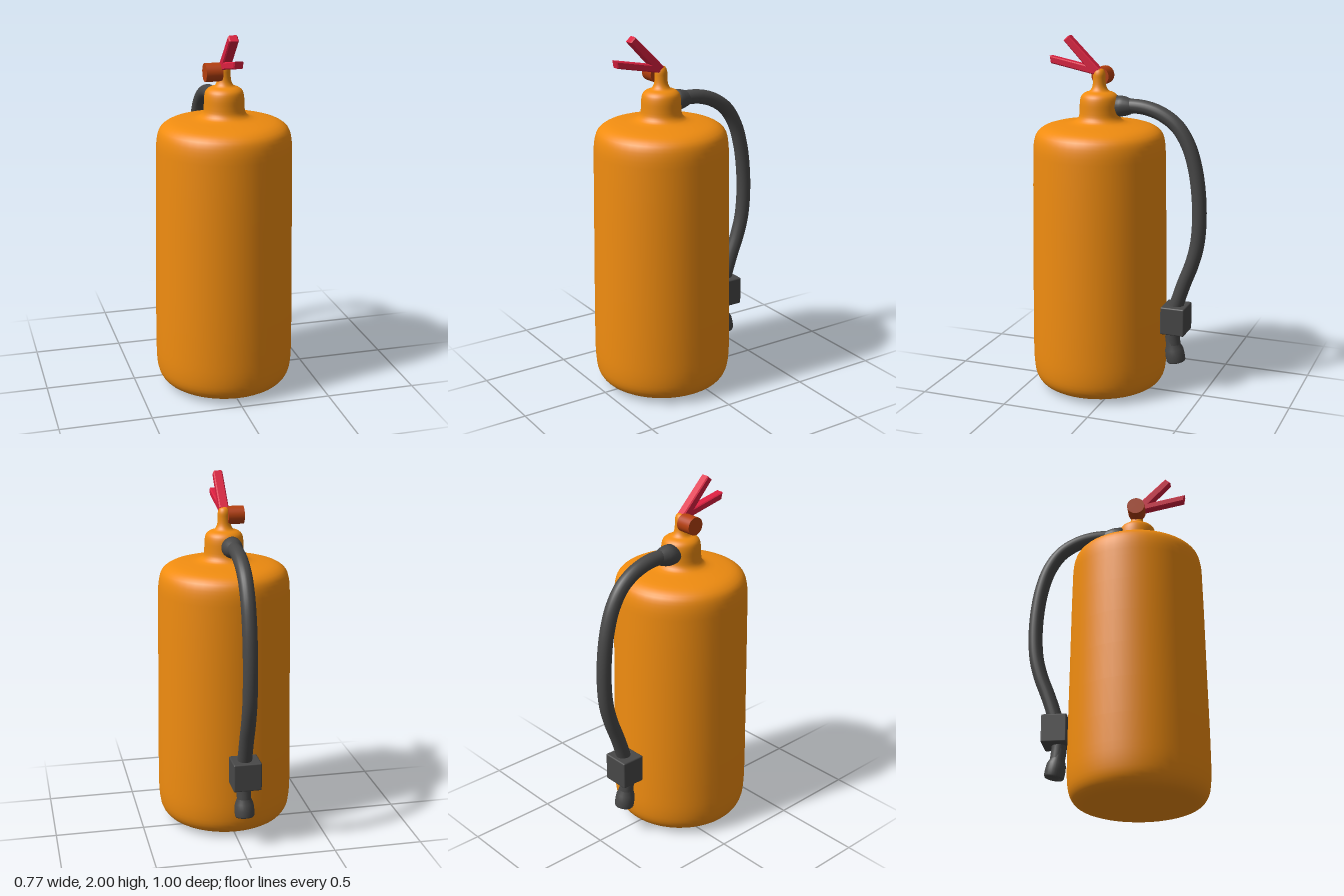
import * as THREE from 'three';
import { RoundedBoxGeometry } from 'three/addons/geometries/RoundedBoxGeometry.js';

const AXIS_Z = 0.117; // centre line of the tank
const HOSE_X = -0.022; // plane of the hose

const paint = (color) => {
  const m = new THREE.MeshStandardMaterial();
  m.color.set(color);
  return m;
};

export function createModel() {
  const model = new THREE.Group();
  const orange = paint(0xf08c10), red = paint(0xdc2040), rust = paint(0xb5400f), rubber = paint(0x484848);

  const add = (name, geometry, material, x = 0, y = 0, z = 0) => {
    const mesh = new THREE.Mesh(geometry, material);
    mesh.name = name;
    mesh.position.set(x, y, z);
    model.add(mesh);
    return mesh;
  };

  // Tank, neck and valve stem as one smooth turned profile
  const profile = [
    [0, 0], [0.2, 0.005], [0.29, 0.013], [0.34, 0.034], [0.368, 0.075], [0.38, 0.14], [0.383, 0.25],
    [0.376, 0.8], [0.368, 1.32], [0.363, 1.42], [0.345, 1.475], [0.3, 1.507], [0.22, 1.523],
    [0.14, 1.536], [0.115, 1.56], [0.109, 1.6], [0.107, 1.645], [0.099, 1.677], [0.08, 1.694],
    [0.052, 1.705], [0.038, 1.73], [0.034, 1.77], [0.033, 1.8], [0.022, 1.822], [0, 1.828],
  ].map(([r, y]) => new THREE.Vector3(r, y, 0));
  const smooth = new THREE.CatmullRomCurve3(profile, false, 'centripetal').getPoints(72)
    .map((p) => new THREE.Vector2(Math.max(p.x, 0), Math.max(p.y, 0)));
  add('tank', new THREE.LatheGeometry(smooth, 48), orange, 0, 0, AXIS_Z);

  // Squeeze levers: side outlines in (z, y), extruded across the width
  const lever = (name, outline) => {
    const shape = new THREE.Shape(outline.map(([z, y]) => new THREE.Vector2(z, y)));
    const geo = new THREE.ExtrudeGeometry(shape, {
      depth: 0.04, bevelEnabled: true, bevelSize: 0.006, bevelThickness: 0.006, bevelOffset: -0.006, bevelSegments: 1,
    });
    geo.translate(0, 0, -0.02).rotateY(-Math.PI / 2);
    add(name, geo, red, -0.001);
  };
  lever('upperLever', [[0.155, 1.8], [0.319, 1.973], [0.288, 2.0], [0.11, 1.825], [0.12, 1.8]]);
  lever('lowerLever', [[0.13, 1.792], [0.395, 1.845], [0.402, 1.885], [0.13, 1.832]]);

  // Pressure gauge on the right side of the stem
  add('gauge', new THREE.CylinderGeometry(0.05, 0.05, 0.09, 32).rotateZ(Math.PI / 2), rust, -0.063, 1.78, 0.12);

  // Hose arching down behind the tank
  const path = new THREE.CatmullRomCurve3([
    [1.62, 0.0], [1.627, -0.06], [1.62, -0.15], [1.59, -0.24], [1.53, -0.325], [1.43, -0.39], [1.3, -0.431],
    [1.15, -0.453], [1.0, -0.458], [0.87, -0.447], [0.76, -0.419], [0.65, -0.378], [0.56, -0.348],
    [0.48, -0.326], [0.36, -0.312], [0.27, -0.32],
  ].map(([y, z]) => new THREE.Vector3(HOSE_X, y, z)));
  add('hose', new THREE.TubeGeometry(path, 90, 0.04, 20), rubber);

  // Turned collar where the hose leaves the neck, and the flared nozzle tip
  const turned = (pts) => new THREE.LatheGeometry(pts.map(([r, y]) => new THREE.Vector2(r, y)), 28);
  add('hoseCollar', turned([[0, 0], [0.058, 0], [0.057, 0.05], [0.054, 0.07], [0.044, 0.1], [0.038, 0.115]])
    .rotateX(-Math.PI / 2), rubber, HOSE_X, 1.623, 0.045);
  const nozzle = add('nozzle', turned([[0, 0.015], [0.035, 0.015], [0.04, 0], [0.049, 0], [0.054, 0.008],
    [0.055, 0.04], [0.052, 0.075], [0.04, 0.105], [0.038, 0.16]]), rubber, HOSE_X, 0.177, -0.337);
  nozzle.rotation.x = 0.19;

  // Clip that holds the hose against the tank
  add('hoseClip', new RoundedBoxGeometry(0.157, 0.16, 0.139, 2, 0.008), rubber, -0.026, 0.435, -0.33);

  return model;
}
